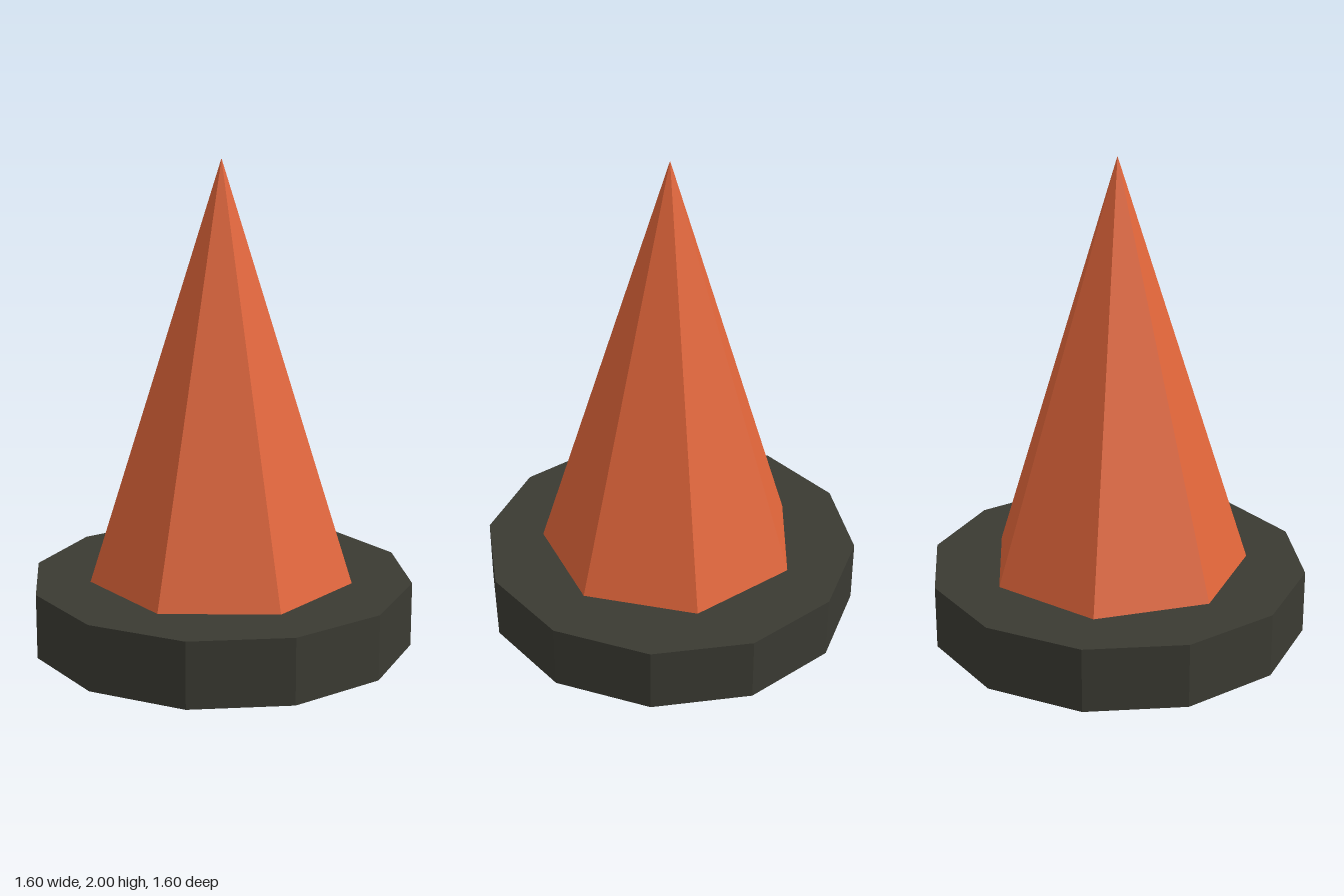
import * as THREE from 'three';

export function createModel() {
  const group = new THREE.Group();
  const orange = new THREE.MeshStandardMaterial({ name: 'orange', color: 0xe0653a, flatShading: true });
  const charcoal = new THREE.MeshStandardMaterial({ name: 'charcoal', color: 0x3a3a32, flatShading: true });

  const baseHeight = 0.27;
  const coneHeight = 2 - baseHeight;

  // Twelve-sided base disc
  const base = new THREE.Mesh(new THREE.CylinderGeometry(0.8, 0.8, baseHeight, 12), charcoal);
  base.name = 'base';
  base.position.y = baseHeight / 2;

  // Seven-sided cone, one flat side facing the front
  const cone = new THREE.Mesh(new THREE.ConeGeometry(0.555, coneHeight, 7), orange);
  cone.name = 'cone';
  cone.position.y = baseHeight + coneHeight / 2;
  cone.rotation.y = Math.PI;

  group.add(base, cone);
  return group;
}
